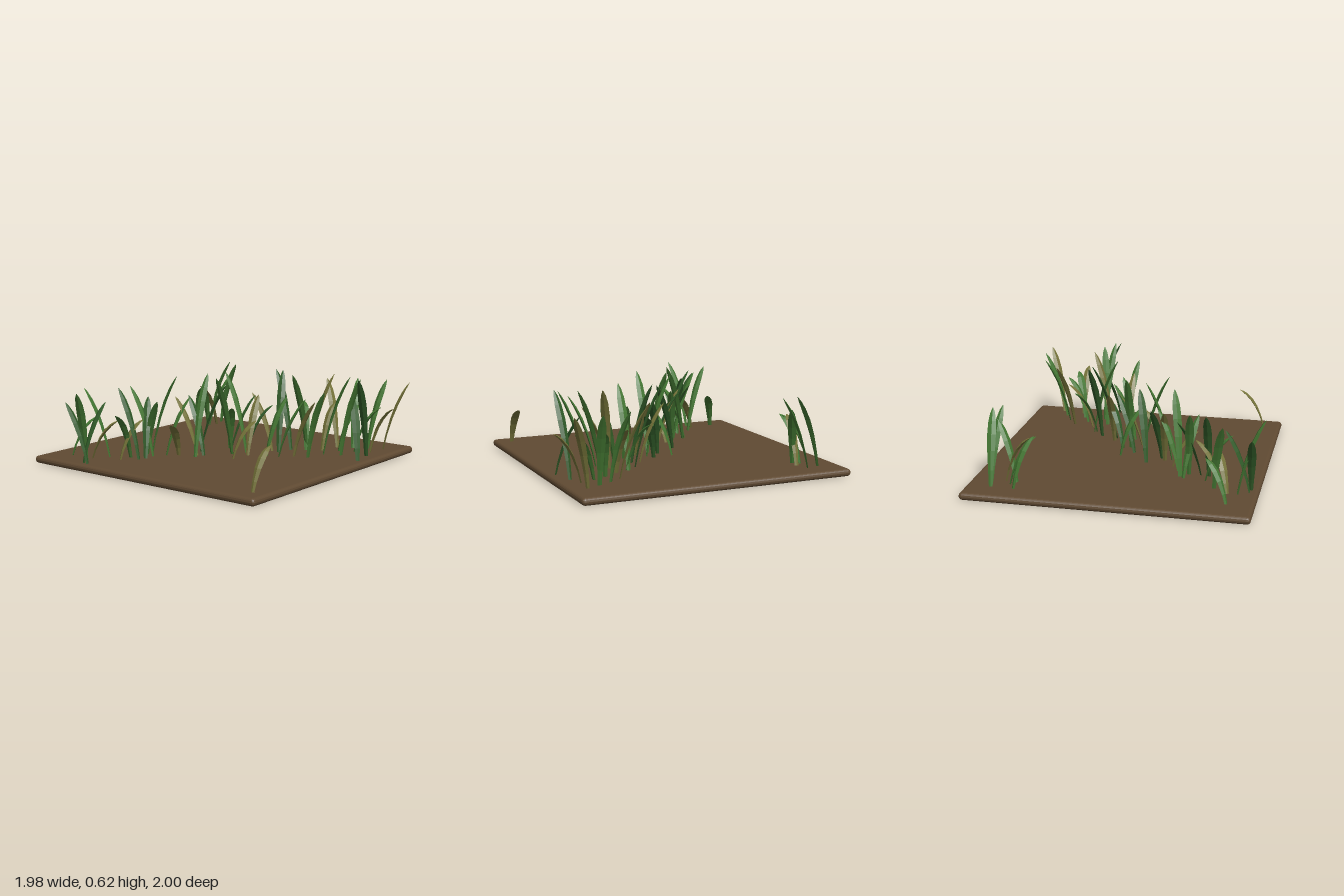
import * as THREE from 'three';
import { RoundedBoxGeometry } from 'three/addons/geometries/RoundedBoxGeometry.js';

const GROUND = 0.05;
const LEAN = 0.19;

function material(name, color, flatShading = true) {
  const m = new THREE.MeshStandardMaterial({ color, flatShading });
  m.name = name;
  return m;
}

// Grass blade: a tapering diamond section swept along a bending curve.
// Heading is in degrees on the ground: 0 leans to +x, 90 leans to +z.
function bladeGeometry(tipX, tipZ, heading, height) {
  const a = THREE.MathUtils.degToRad(heading);
  const lean = new THREE.Vector3(Math.cos(a), 0, Math.sin(a));
  const side = new THREE.Vector3(-Math.sin(a), 0, Math.cos(a));
  const tip = new THREE.Vector3(tipX, height, tipZ);
  const root = tip.clone().addScaledVector(lean, -LEAN).setY(GROUND - 0.02);
  const bend = root.clone().addScaledVector(lean, LEAN * 0.3);
  bend.y = height * (height < 0.42 ? 0.82 : 0.66);
  const curve = new THREE.QuadraticBezierCurve3(root, bend, tip);

  const stations = [0, 0.2, 0.42, 0.62, 0.8, 0.92, 1];
  const widths = [0.012, 0.018, 0.026, 0.03, 0.026, 0.016, 0.002];
  const positions = [], index = [];
  stations.forEach((t, i) => {
    const p = curve.getPoint(t);
    const normal = curve.getTangent(t).cross(side);
    const w = widths[i], thick = w * 0.35;
    for (const [s, n] of [[w, 0], [0, thick], [-w, 0], [0, -thick]]) {
      const v = p.clone().addScaledVector(side, s).addScaledVector(normal, n);
      positions.push(v.x, v.y, v.z);
    }
    if (i === 0) return;
    for (let j = 0; j < 4; j++) {
      const k = (j + 1) % 4, lo = (i - 1) * 4, hi = i * 4;
      index.push(lo + j, lo + k, hi + k, lo + j, hi + k, hi + j);
    }
  });
  const end = (stations.length - 1) * 4;
  index.push(end, end + 1, end + 2, end, end + 2, end + 3);

  const g = new THREE.BufferGeometry();
  g.setAttribute('position', new THREE.Float32BufferAttribute(positions, 3));
  g.setIndex(index);
  g.computeVertexNormals();
  return g;
}

export function createModel() {
  const model = new THREE.Group();
  model.name = 'grassPatch';
  const soil = material('soil brown', 0x604a32);
  const green = material('leaf green', 0x437632);
  const deep = material('deep green', 0x305a28);
  const olive = material('dry olive', 0x747239);

  // Slab of earth with rounded rim
  const slab = new THREE.Mesh(new RoundedBoxGeometry(1.95, 0.052, 1.95, 2, 0.025), soil);
  slab.name = 'soilSlab';
  slab.position.set(0.015, 0.026, -0.025);
  model.add(slab);

  // Each row: tip x, tip z, heading, tip height
  function clump(name, mat, rows) {
    const group = new THREE.Group();
    group.name = name;
    for (const row of rows) {
      const blade = new THREE.Mesh(bladeGeometry(...row), mat);
      blade.name = 'grassBlade';
      group.add(blade);
    }
    model.add(group);
  }

  // Narrow back end of the diagonal strip
  clump('backGrass', green, [
    [-0.62, -0.70, 33, 0.32], [-0.73, -0.72, -113, 0.54], [-0.99, -0.53, 153, 0.55],
    [-0.76, -0.39, 170, 0.38], [-0.48, -0.51, -100, 0.54], [-0.50, -0.24, 115, 0.46],
    [-0.32, -0.21, 66, 0.62],
  ]);
  clump('backDeepGrass', deep, [
    [-0.92, -0.71, -95, 0.46], [-0.72, -0.52, 15, 0.46], [-0.59, -0.52, -90, 0.54],
    [-0.38, -0.43, -35, 0.46],
  ]);
  clump('backDryGrass', olive, [
    [-0.65, -0.47, 55, 0.32], [-0.50, -0.37, 20, 0.32], [-0.48, -0.13, 156, 0.30],
    [-0.26, -0.28, -98, 0.46],
  ]);

  // Middle of the strip
  clump('middleGrass', green, [
    [-0.20, -0.19, 27, 0.46], [-0.10, -0.11, -10, 0.62], [-0.23, 0.07, 178, 0.62],
    [-0.04, 0.06, 138, 0.38], [0.05, -0.07, -92, 0.62], [0.24, 0.34, 15, 0.46],
    [0.22, 0.40, 180, 0.62],
  ]);
  clump('middleDeepGrass', deep, [
    [-0.16, -0.24, -75, 0.46], [-0.03, 0.0, 63, 0.54], [0.16, 0.12, 36, 0.46],
    [0.25, 0.21, 42, 0.38], [0.38, 0.14, -73, 0.62], [0.37, 0.21, -27, 0.62],
  ]);
  clump('middleDryGrass', olive, [
    [0.0, 0.25, 27, 0.31], [0.17, 0.14, -12, 0.46], [0.21, 0.05, -90, 0.46],
  ]);

  // Wide front end of the strip
  clump('frontGrass', green, [
    [0.21, 0.52, 50, 0.46], [0.13, 0.73, 110, 0.54], [0.41, 0.76, 71, 0.62],
    [0.68, 0.68, 22, 0.38], [0.65, 0.87, 60, 0.38], [0.89, 0.77, 13, 0.54],
    [0.35, 0.88, 105, 0.62], [0.53, 0.29, -40, 0.38], [0.83, 0.56, -23, 0.54],
  ]);
  clump('frontDeepGrass', deep, [
    [0.45, 0.76, -45, 0.46], [0.31, 0.89, 168, 0.62],
  ]);
  clump('frontDryGrass', olive, [
    [0.15, 0.64, 95, 0.46], [0.45, 0.60, 32, 0.62], [0.69, 0.38, -60, 0.54],
    [0.63, 0.50, -2, 0.38], [0.60, 1.0, 90, 0.39], [0.89, 0.96, 45, 0.54],
  ]);

  // Stray tufts in the far corners
  clump('cornerGrass', green, [
    [0.55, -0.69, 124, 0.38], [0.53, -0.69, 157, 0.38], [0.82, -0.62, 33, 0.46],
    [0.84, -0.65, 82, 0.55], [0.80, -0.56, 102, 0.54],
  ]);
  clump('cornerDryGrass', olive, [
    [0.56, -0.73, 186, 0.38], [-0.64, 0.84, 0, 0.32],
  ]);
  return model;
}
